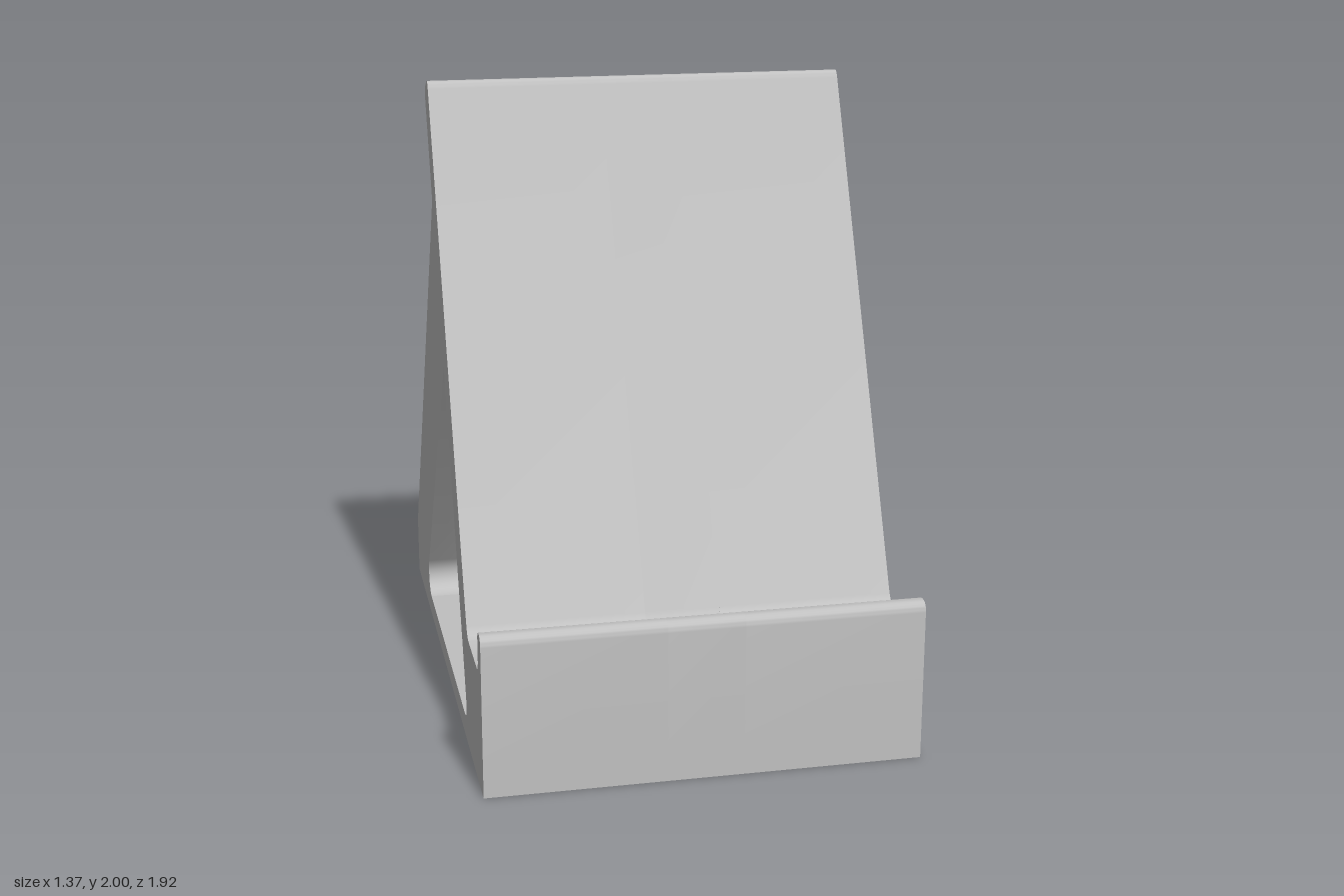
import * as THREE from 'three';
import { toCreasedNormals } from 'three/addons/utils/BufferGeometryUtils.js';

const HALF = 0.685;    // half width of the stand
const BRACE = 0.413;   // inner face of the rear braces
const SLOT = 0.12;     // half width of the tray pocket
const END = 0.9625;    // half depth of the base

// Side profile (z, y) of tray, back rest and base plate
function bodyProfile(withPocket) {
  const s = new THREE.Shape();
  s.moveTo(-END, 0);
  s.lineTo(END, 0);
  // rounded front lip
  s.lineTo(END, 0.485);
  s.quadraticCurveTo(END, 0.517, 0.928, 0.517);
  s.quadraticCurveTo(0.895, 0.517, 0.895, 0.485);
  // tray floor with fillets
  s.lineTo(0.895, 0.425);
  s.quadraticCurveTo(0.895, 0.38, 0.862, 0.38);
  if (withPocket) {
    s.lineTo(0.862, 0.2);
    s.lineTo(0.64, 0.2);
    s.lineTo(0.64, 0.384);
  } else {
    s.lineTo(0.655, 0.38);
  }
  s.quadraticCurveTo(0.627, 0.385, 0.61, 0.42);
  // back rest and rounded tip
  s.lineTo(-0.11, 1.975);
  s.quadraticCurveTo(-0.122, 2.006, -0.15, 1.995);
  s.lineTo(-0.19, 1.975);
  s.quadraticCurveTo(-0.217, 1.962, -0.205, 1.935);
  s.lineTo(-0.07, 1.62);
  s.lineTo(0.15, 1.12);
  // inside of the tray block down to the base plate
  s.lineTo(0.515, 0.25);
  s.lineTo(0.557, 0.14);
  s.quadraticCurveTo(0.575, 0.07, 0.505, 0.07);
  s.lineTo(-END, 0.07);
  s.closePath();
  return s;
}

// Side profile of one rear brace
function braceProfile() {
  const s = new THREE.Shape();
  s.moveTo(-0.07, 1.62);
  s.lineTo(0.15, 1.12);
  s.lineTo(-0.55, 0.19);
  s.bezierCurveTo(-0.59, 0.135, -0.56, 0.07, -0.5, 0.07);
  s.lineTo(-END, 0.07);
  s.lineTo(-END, 0.205);
  s.closePath();
  return s;
}

export function createModel() {
  const group = new THREE.Group();
  const grey = new THREE.MeshStandardMaterial({ color: 0xc0c0c0 });
  grey.name = 'grey plastic';

  // Extrude a side profile across the width from x0 to x1
  const slab = (name, shape, x0, x1) => {
    const geo = new THREE.ExtrudeGeometry(shape, { depth: x1 - x0, bevelEnabled: false, curveSegments: 8 });
    geo.rotateY(-Math.PI / 2).translate(x1, 0, 0);
    const mesh = new THREE.Mesh(toCreasedNormals(geo, 0.4), grey);
    mesh.name = name;
    group.add(mesh);
  };

  slab('bodyCentreWithPocket', bodyProfile(true), -SLOT, SLOT);
  slab('bodyLeft', bodyProfile(false), SLOT, HALF);
  slab('bodyRight', bodyProfile(false), -HALF, -SLOT);
  slab('rearBraceLeft', braceProfile(), BRACE, HALF);
  slab('rearBraceRight', braceProfile(), -HALF, -BRACE);
  return group;
}
